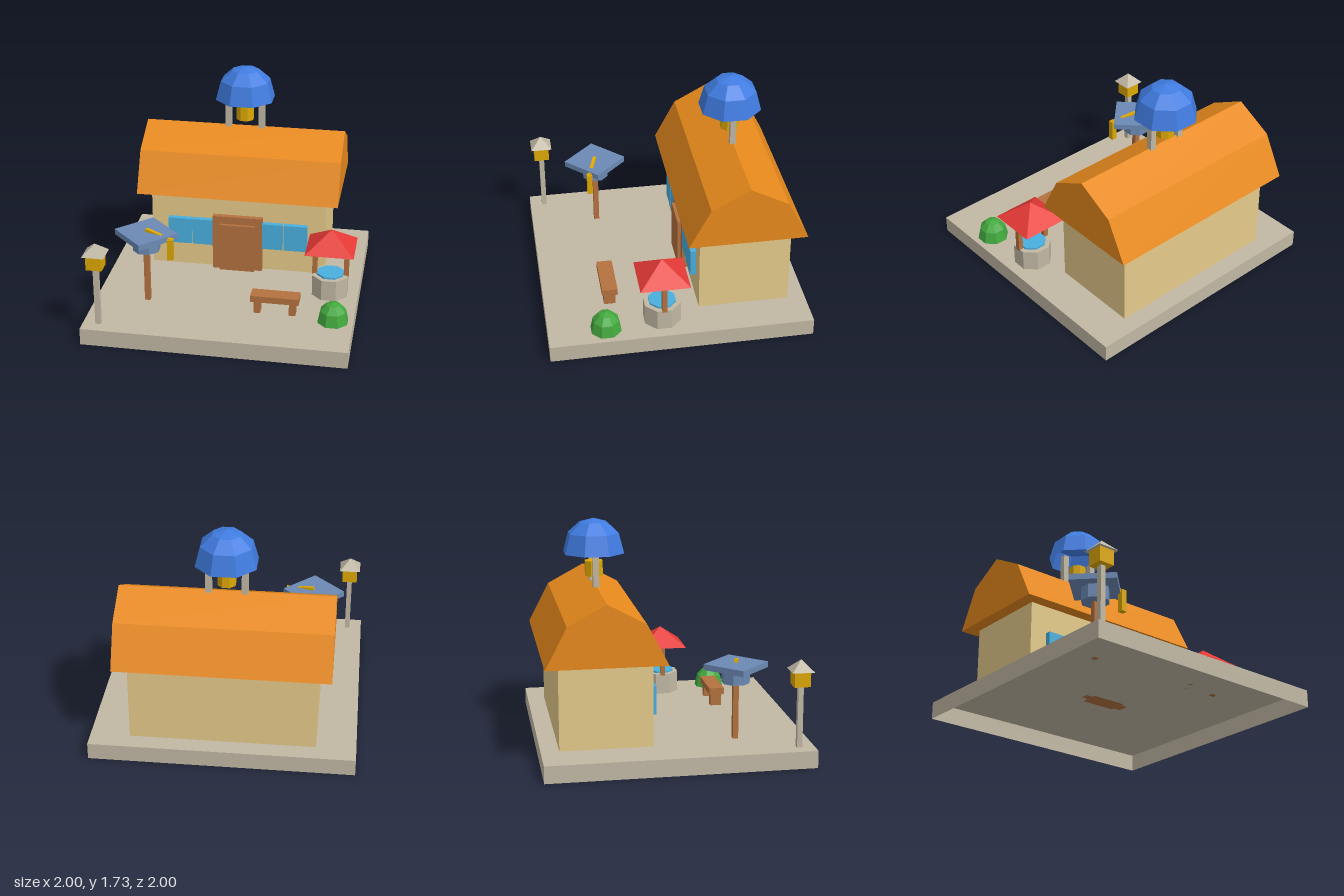
import * as THREE from 'three';

function paint(name, color, side = THREE.FrontSide) {
  const m = new THREE.MeshStandardMaterial({ color, flatShading: true, side });
  m.name = name;
  return m;
}

export function createModel() {
  const model = new THREE.Group();
  model.name = 'cottageYard';

  const stone = paint('stone', 0xc1b8a4, THREE.DoubleSide);
  const plaster = paint('plaster', 0xe5ca8a);
  const orange = paint('orangeRoof', 0xe88a1c);
  const wood = paint('wood', 0xb4723f);
  const glass = paint('skyBlue', 0x4aafdf);
  const gold = paint('gold', 0xdea804);
  const blue = paint('domeBlue', 0x407ce0, THREE.DoubleSide);
  const slate = paint('slate', 0x6c8ab4);
  const red = paint('red', 0xe53935);
  const green = paint('leafGreen', 0x43a83e, THREE.DoubleSide);

  const group = (name, x = 0, z = 0) => {
    const g = new THREE.Group();
    g.name = name;
    g.position.set(x, 0, z);
    model.add(g);
    return g;
  };
  const add = (parent, name, geometry, material, x = 0, y = 0, z = 0) => {
    const mesh = new THREE.Mesh(geometry, material);
    mesh.name = name;
    mesh.position.set(x, y, z);
    parent.add(mesh);
    return mesh;
  };
  // Box given by its width, bottom, top and depth
  const box = (parent, name, mat, w, y0, y1, d, x = 0, z = 0) =>
    add(parent, name, new THREE.BoxGeometry(w, y1 - y0, d), mat, x, (y0 + y1) / 2, z);
  // Octagonal prism with its flats facing the axes
  const octagon = (parent, name, mat, apothem, y0, y1) => {
    const r = apothem / Math.cos(Math.PI / 8);
    const geo = new THREE.CylinderGeometry(r, r, y1 - y0, 8).rotateY(Math.PI / 8);
    return add(parent, name, geo, mat, 0, (y0 + y1) / 2, 0);
  };
  // Square pyramid
  const pyramid = (parent, name, mat, half, y0, y1) => {
    const geo = new THREE.ConeGeometry(half * Math.SQRT2, y1 - y0, 4).rotateY(Math.PI / 4);
    return add(parent, name, geo, mat, 0, (y0 + y1) / 2, 0);
  };
  // Eight-sided dome, open below, given by its apothem, bottom and top
  const dome = (parent, name, mat, apothem, y0, y1) => {
    const r = apothem / Math.cos(Math.PI / 8);
    const pts = [[1, 0], [0.83, 0.575], [0.45, 0.885], [0, 1]]
      .map(([a, h]) => new THREE.Vector2(a * r, y0 + h * (y1 - y0)));
    return add(parent, name, new THREE.LatheGeometry(pts, 8).rotateY(Math.PI / 8), mat);
  };

  // Base: a shallow tray turned over, with no underside
  const ground = 0.132;
  const base = box(model, 'base', stone, 2, 0, ground, 2);
  const faces = Array.from(base.geometry.index.array);
  faces.splice(18, 6);
  base.geometry.setIndex(faces);

  // House with a two-pitch roof
  const house = group('house', 0, -0.516);
  box(house, 'walls', plaster, 1.4, ground, 0.775, 0.695);
  const gable = new THREE.Shape(
    [[-0.449, 0.769], [0.449, 0.769], [0.287, 1.08], [0, 1.235], [-0.287, 1.08]]
      .map(([z, y]) => new THREE.Vector2(z, y)));
  const roofGeo = new THREE.ExtrudeGeometry(gable, { depth: 1.6, bevelEnabled: false });
  roofGeo.translate(0, 0, -0.8).rotateY(Math.PI / 2);
  add(house, 'roof', roofGeo, orange);

  // Door and shuttered windows on the front wall
  const front = group('frontWall', 0, -0.17);
  box(front, 'doorFrame', wood, 0.4, ground, 0.594, 0.092);
  box(front, 'door', wood, 0.28, ground, 0.532, 0.144);
  for (const x of [-0.467, -0.27, 0.27, 0.467]) {
    box(front, 'window', glass, 0.186, 0.334, 0.552, 0.09, x);
  }

  // Bell tower on the ridge
  const tower = group('bellTower', 0, -0.515);
  for (const s of [-1, 1]) box(tower, 'towerPost', stone, 0.048, 1.2, 1.475, 0.045, s * 0.134);
  octagon(tower, 'bell', gold, 0.066, 1.292, 1.408);
  dome(tower, 'towerDome', blue, 0.223, 1.469, 1.733);

  // Well
  const well = group('well', 0.779, 0.13);
  octagon(well, 'wellWall', stone, 0.136, ground, 0.3);
  octagon(well, 'water', glass, 0.1, 0.29, 0.315);
  for (const s of [-1, 1]) box(well, 'wellPost', wood, 0.038, 0.29, 0.54, 0.038, s * 0.123);
  pyramid(well, 'wellRoof', red, 0.187, 0.533, 0.68);

  // Bush
  const bush = group('bush', 0.845, 0.564);
  dome(bush, 'leaves', green, 0.112, ground, 0.293);

  // Bench
  const bench = group('bench', 0.398, 0.499);
  box(bench, 'benchSeat', wood, 0.37, 0.232, 0.283, 0.12);
  for (const s of [-1, 1]) box(bench, 'benchLeg', wood, 0.05, ground, 0.234, 0.09, s * 0.135);

  // Lantern
  const lantern = group('lantern', -0.884, 0.884);
  box(lantern, 'lanternPost', stone, 0.04, ground, 0.605, 0.04);
  box(lantern, 'lanternLight', gold, 0.12, 0.602, 0.716, 0.12);
  pyramid(lantern, 'lanternCap', stone, 0.083, 0.715, 0.797);

  // Slate table on a post, with a cranked handle
  const table = group('crankTable', -0.6, 0.466);
  box(table, 'tablePost', wood, 0.042, ground, 0.57, 0.042);
  octagon(table, 'tableHub', slate, 0.098, 0.565, 0.672);
  box(table, 'tableSlab', slate, 0.346, 0.67, 0.715, 0.346).rotation.y = Math.PI / 4;
  const start = new THREE.Vector3(0, 0.727, 0);
  const end = new THREE.Vector3(0.2, 0.688, 0.063);
  const reach = end.clone().sub(start);
  const arm = add(table, 'crankArm', new THREE.BoxGeometry(0.027, 0.027, reach.length()), gold);
  arm.position.copy(start).add(end).multiplyScalar(0.5);
  arm.rotation.set(-Math.atan2(reach.y, Math.hypot(reach.x, reach.z)),
    Math.atan2(reach.x, reach.z), 0, 'YXZ');
  box(table, 'crankHandle', gold, 0.044, 0.527, 0.697, 0.043, 0.2, 0.065);

  return model;
}
